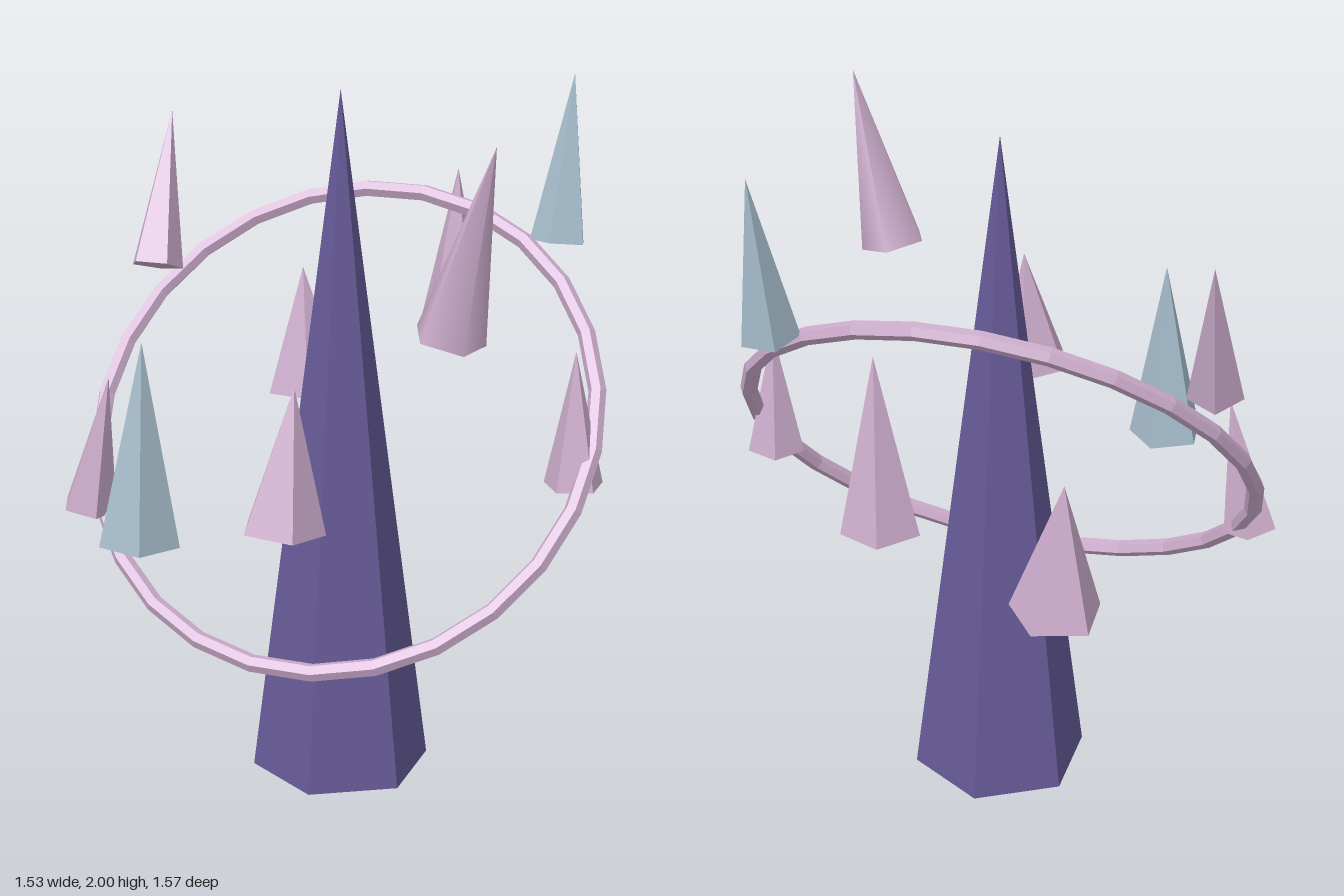
import * as THREE from 'three';

const deg = THREE.MathUtils.degToRad;

// Hard-edged copy of a geometry
function faceted(geometry) {
  const g = geometry.toNonIndexed();
  g.computeVertexNormals();
  return g;
}

function material(name, color) {
  const m = new THREE.MeshStandardMaterial({ color });
  m.name = name;
  return m;
}

export function createModel() {
  const model = new THREE.Group();
  model.name = 'crystalSpire';
  const purple = material('deep purple', 0x665a97);
  const pink = material('dusty pink', 0xcdadcd);
  const blue = material('pale blue', 0xa6bccb);

  function add(name, geometry, mat) {
    const mesh = new THREE.Mesh(geometry, mat);
    mesh.name = name;
    model.add(mesh);
    return mesh;
  }

  // Central six-sided spire
  add('spire', faceted(new THREE.ConeGeometry(0.26, 2, 6)), purple).position.y = 1;

  // Tilted ring, high at the back
  const ring = add('ring', faceted(new THREE.TorusGeometry(0.736, 0.025, 6, 26)), pink);
  ring.position.y = 1.055;
  ring.rotation.x = -0.67;

  // Floating shards: base centre, tip, radius, twist in degrees, colour, smooth
  const shards = [
    [[0.685, 0.95, 0], [0.68, 1.33, 0], 0.085, 54, pink],
    [[0.455, 1.455, 0.42], [0.58, 1.965, 0.45], 0.098, 42, pink, true],
    [[0.1, 0.98, 0.685], [0.125, 1.36, 0.655], 0.114, 36, pink],
    [[-0.35, 0.852, 0.595], [-0.335, 1.41, 0.58], 0.113, 25, blue],
    [[-0.69, 0.785, 0.23], [-0.61, 1.185, 0.235], 0.08, 42, pink],
    [[-0.64, 1.415, -0.155], [-0.655, 1.845, -0.323], 0.08, 48, pink],
    [[-0.335, 0.94, -0.595], [-0.355, 1.33, -0.605], 0.127, 21, pink],
    [[0.108, 1.17, -0.685], [0.12, 1.66, -0.678], 0.108, 49, pink],
    [[0.513, 1.53, -0.405], [0.525, 2, -0.473], 0.084, 68, blue],
  ];
  const up = new THREE.Vector3(0, 1, 0);
  shards.forEach(([b, t, radius, twist, mat, smooth], i) => {
    const base = new THREE.Vector3(...b);
    const tip = new THREE.Vector3(...t);
    const axis = tip.clone().sub(base);
    const cone = new THREE.ConeGeometry(radius, axis.length(), 5);
    cone.rotateY(deg(twist));
    const shard = add('shard' + (i + 1), smooth ? cone : faceted(cone), mat);
    shard.position.copy(base).add(tip).multiplyScalar(0.5);
    shard.quaternion.setFromUnitVectors(up, axis.normalize());
  });

  return model;
}
